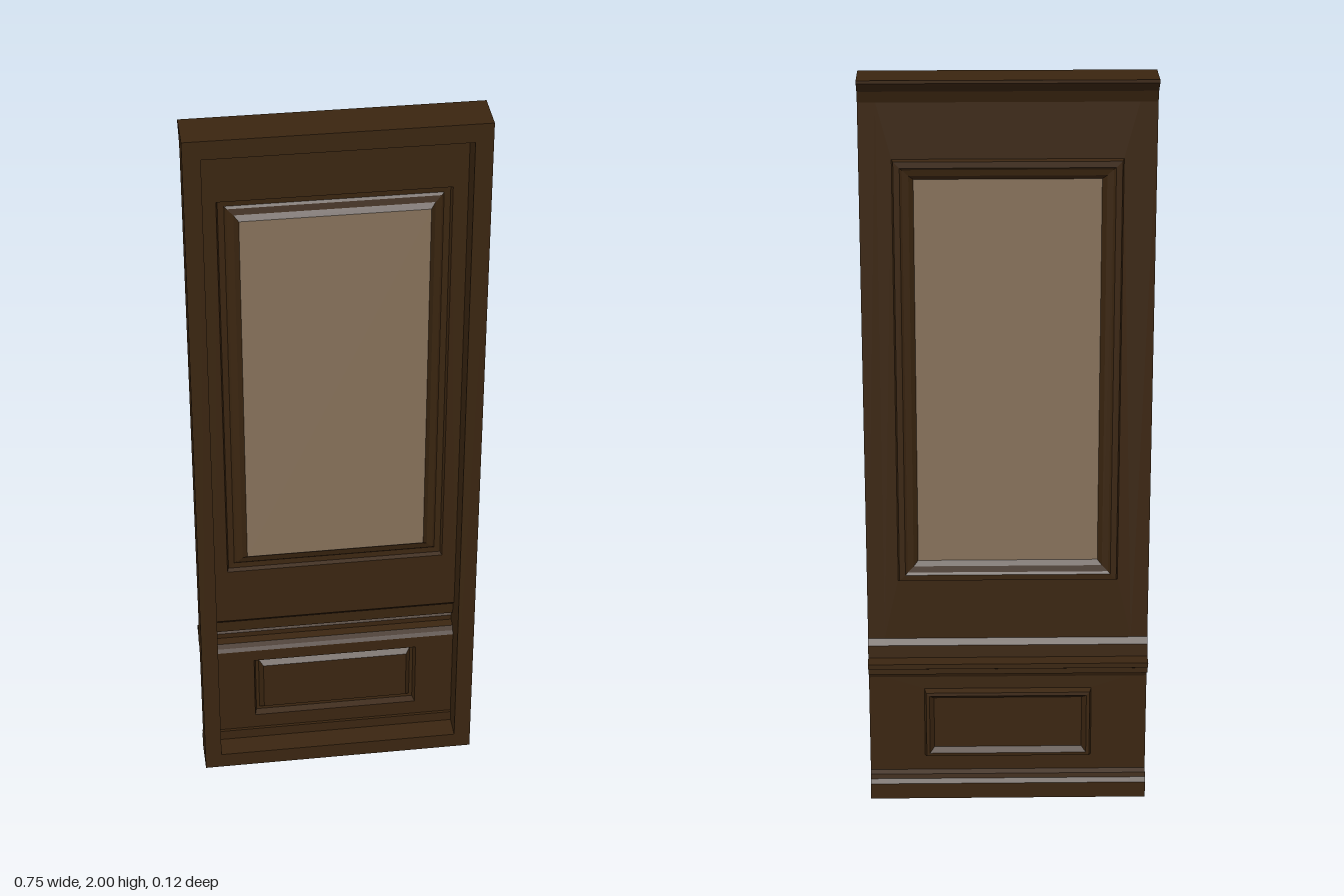
import * as THREE from 'three';

const FRONT = 0.0625, WALL = -0.008, HALF = 0.375, INNER = 0.33;

// Moulding profiles on the back, as [z, y] from low to high
const BASE = [[-0.035, 0], [-0.035, 0.045], [-0.024, 0.055], [-0.022, 0.068], [WALL, 0.075]];
const RAIL = [[WALL, 0.355], [-0.014, 0.365], [-0.02, 0.378], [-0.044, 0.38], [-0.044, 0.395],
  [-0.0625, 0.404], [-0.0625, 0.418], [-0.024, 0.42], [-0.022, 0.455], [WALL, 0.47]];
const CORNICE = [[WALL, 1.935], [-0.014, 1.95], [-0.02, 1.965], [-0.044, 1.985], [-0.052, 1.992], [-0.052, 2]];

const wood = new THREE.MeshStandardMaterial({ color: 0x3a2510, side: THREE.DoubleSide });
wood.name = 'darkWood';
const pane = new THREE.MeshStandardMaterial({ color: 0x857059, side: THREE.DoubleSide });
pane.name = 'paleGlass';

function polygon(points) {
  return new THREE.Shape(points.map(([a, b]) => new THREE.Vector2(a, b)));
}

function rect(hw, y0, y1) {
  return [[-hw, y0], [hw, y0], [hw, y1], [-hw, y1]];
}

// Solid with a [z, y] outline, running from x0 to x1
function slab(points, x0, x1) {
  const g = new THREE.ExtrudeGeometry(polygon(points), { depth: x1 - x0, bevelEnabled: false });
  return g.rotateY(-Math.PI / 2).translate(x1, 0, 0);
}

// Faceted strip joining successive rows of points
function loft(rows, closed) {
  const pos = [];
  for (let i = 0; i < rows.length - 1; i++) {
    const a = rows[i], b = rows[i + 1], n = a.length;
    for (let j = 0; j < (closed ? n : n - 1); j++) {
      const k = (j + 1) % n;
      for (const p of [a[j], b[k], a[k], a[j], b[j], b[k]]) pos.push(...p);
    }
  }
  const g = new THREE.BufferGeometry();
  g.setAttribute('position', new THREE.Float32BufferAttribute(pos, 3));
  g.computeVertexNormals();
  return g;
}

// Mitred rectangular moulding; steps are [inset, z]
function moulding(hw, y0, y1, steps) {
  return loft(steps.map(([d, z]) => rect(hw - d, y0 + d, y1 - d).map(([x, y]) => [x, y, z])), true);
}

export function createModel() {
  const group = new THREE.Group();
  const add = (name, geometry, material = wood) => {
    const mesh = new THREE.Mesh(geometry, material);
    mesh.name = name;
    group.add(mesh);
  };

  // Side stiles carry the full silhouette, including the moulding ends
  const outline = [[FRONT, 0], ...BASE, ...RAIL, ...CORNICE, [FRONT, 2]];
  add('rightStile', slab(outline, -HALF, -INNER));
  add('leftStile', slab(outline, INNER, HALF));

  // Solid top and bottom members between the stiles
  add('cornice', slab([[FRONT, 1.95], [0, 1.95], [0, 1.935], ...CORNICE, [FRONT, 2]], -INNER, INNER));
  add('base', slab([[FRONT, 0], ...BASE, [0, 0.075], [0, 0.045], [FRONT, 0.045]], -INNER, INNER));

  // Thin moulded rail, hollow on the front
  add('chairRail', loft(RAIL.map(([z, y]) => [[-INNER, y, z], [INNER, y, z]]), false));

  // Wall sheets with openings for the framed panels
  const sheet = (name, y0, y1, hole) => {
    const shape = polygon(rect(INNER, y0, y1));
    shape.holes.push(new THREE.Path(rect(...hole).map(([x, y]) => new THREE.Vector2(x, y))));
    add(name, new THREE.ShapeGeometry(shape).translate(0, 0, WALL));
  };
  const windowRect = [0.292, 0.64, 1.79];
  const lowerRect = [0.226, 0.12, 0.32];
  sheet('upperWall', 0.47, 1.935, windowRect);
  sheet('lowerWall', 0.075, 0.355, lowerRect);

  // Window frame and pane
  add('windowFrame', moulding(...windowRect, [[0, WALL], [0.004, -0.02], [0.02, -0.021],
    [0.026, -0.016], [0.042, -0.012], [0.054, 0]]));
  add('windowPane', new THREE.PlaneGeometry(0.476, 1.042).translate(0, 1.215, 0), pane);

  // Lower panel frame and its field
  add('lowerPanelFrame', moulding(...lowerRect, [[0, WALL], [0.005, -0.027], [0.014, -0.028],
    [0.02, -0.02], [0.026, -0.012]]));
  add('lowerPanelField', new THREE.PlaneGeometry(0.4, 0.148).translate(0, 0.22, -0.012));

  return group;
}
